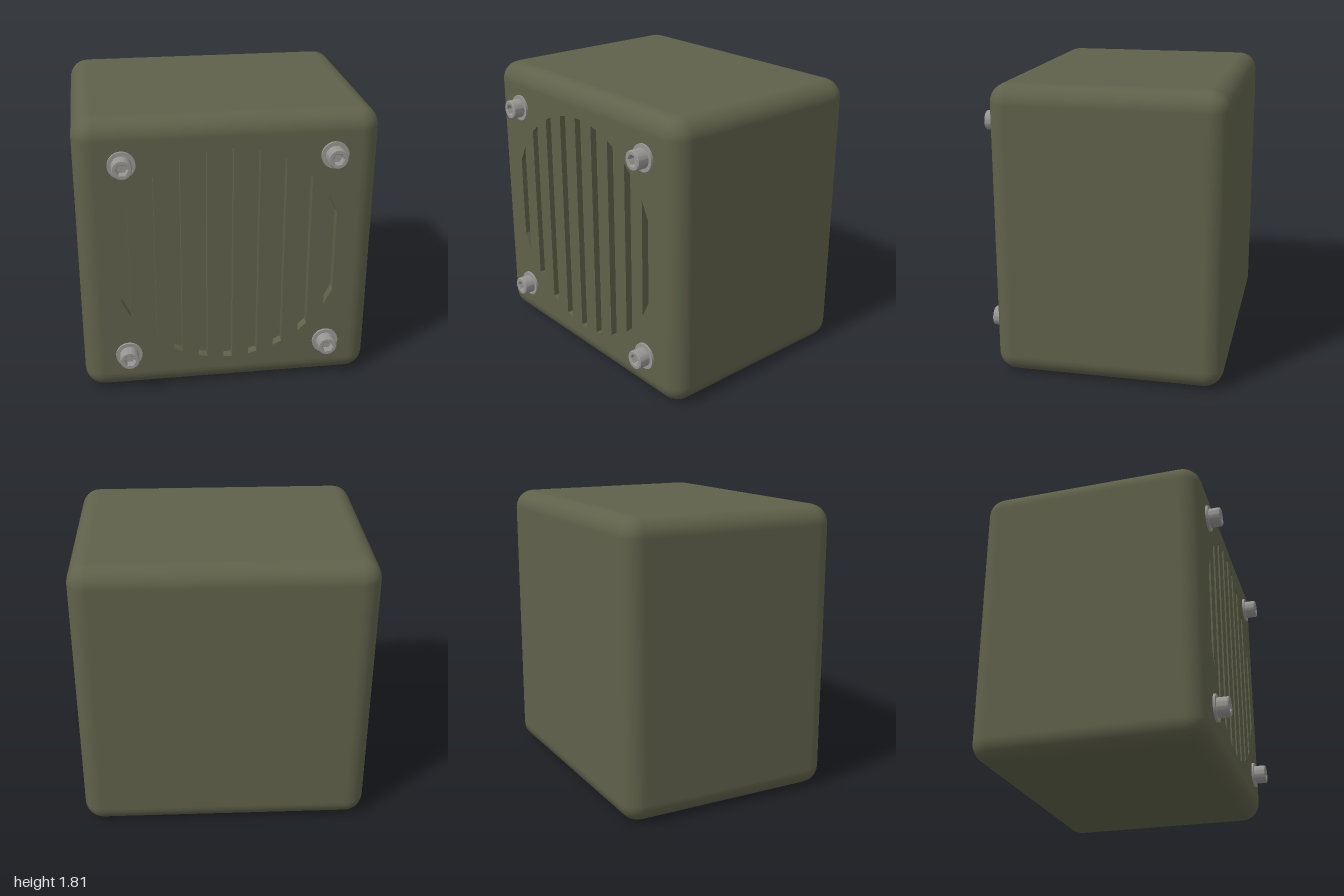
import * as THREE from 'three';
import { toCreasedNormals } from 'three/addons/utils/BufferGeometryUtils.js';
import { RoundedBoxGeometry } from 'three/addons/geometries/RoundedBoxGeometry.js';

const W = 1.82, H = 1.81, D = 1.414, R = 0.12;
const FACE = D / 2, SLOT_DEPTH = 0.06;

const olive = new THREE.MeshStandardMaterial({ color: 0x5f614a });
olive.name = 'olive';
const steel = new THREE.MeshStandardMaterial({ color: 0x989693 });
steel.name = 'steel';

function addMesh(parent, name, geometry, material, x = 0, y = 0, z = 0) {
  const mesh = new THREE.Mesh(geometry, material);
  mesh.name = name;
  mesh.position.set(x, y, z);
  parent.add(mesh);
  return mesh;
}

// Rounded box without its flat front panel
function openCase() {
  const box = new RoundedBoxGeometry(W, H, D, 4, R);
  const pos = box.attributes.position, nor = box.attributes.normal;
  const p = [], n = [];
  for (let i = 0; i < pos.count; i += 3) {
    const flat = [0, 1, 2].every(k => pos.getZ(i + k) > FACE - 1e-4);
    if (flat) continue;
    for (let k = i; k < i + 3; k++) {
      p.push(pos.getX(k), pos.getY(k), pos.getZ(k));
      n.push(nor.getX(k), nor.getY(k), nor.getZ(k));
    }
  }
  const g = new THREE.BufferGeometry();
  g.setAttribute('position', new THREE.Float32BufferAttribute(p, 3));
  g.setAttribute('normal', new THREE.Float32BufferAttribute(n, 3));
  return g;
}

// Front panel with nine vertical slots trimmed to a circle
function grillePanel() {
  const a = W / 2 - R, b = H / 2 - R, radius = 0.715, half = 0.0275;
  const shape = new THREE.Shape([
    new THREE.Vector2(-a, -b), new THREE.Vector2(a, -b),
    new THREE.Vector2(a, b), new THREE.Vector2(-a, b),
  ]);
  for (let i = -4; i <= 4; i++) {
    const x0 = i * 0.159 - half, x1 = i * 0.159 + half;
    const y0 = Math.sqrt(radius ** 2 - x0 ** 2), y1 = Math.sqrt(radius ** 2 - x1 ** 2);
    shape.holes.push(new THREE.Path([
      new THREE.Vector2(x0, -y0), new THREE.Vector2(x0, y0),
      new THREE.Vector2(x1, y1), new THREE.Vector2(x1, -y1),
    ]));
  }
  return new THREE.ExtrudeGeometry(shape, { depth: SLOT_DEPTH, bevelEnabled: false });
}

// Socket screw head: a short cylinder with a hexagonal recess
function screwHead() {
  const shape = new THREE.Shape().absarc(0, 0, 0.06, 0, Math.PI * 2);
  const hex = [];
  for (let i = 0; i < 6; i++) {
    const t = -i * Math.PI / 3;
    hex.push(new THREE.Vector2(0.034 * Math.cos(t), 0.034 * Math.sin(t)));
  }
  shape.holes.push(new THREE.Path(hex));
  const g = new THREE.ExtrudeGeometry(shape, {
    depth: 0.077, curveSegments: 24, bevelSize: 0.005, bevelThickness: 0.005,
    bevelOffset: -0.005, bevelSegments: 1,
  });
  return toCreasedNormals(g, 0.5);
}

export function createModel() {
  const model = new THREE.Group();
  model.name = 'speakerBox';
  const body = new THREE.Group();
  body.name = 'body';
  body.position.set(0, H / 2, -0.035);
  body.rotation.y = THREE.MathUtils.degToRad(10);
  model.add(body);

  addMesh(body, 'case', openCase(), olive);
  addMesh(body, 'grillePanel', grillePanel(), olive, 0, 0, FACE - SLOT_DEPTH);
  addMesh(body, 'slotFloor', new THREE.PlaneGeometry(1.5, 1.5), olive, 0, 0, FACE - SLOT_DEPTH);

  // Four corner screws with washers
  const head = screwHead();
  const washer = new THREE.CylinderGeometry(0.083, 0.083, 0.015, 32).rotateX(Math.PI / 2);
  const socket = new THREE.CircleGeometry(0.045, 24);
  for (const sx of [-1, 1]) {
    for (const sy of [-1, 1]) {
      const screw = new THREE.Group();
      screw.name = 'screw';
      screw.position.set(sx * 0.63, sy * 0.642, FACE);
      addMesh(screw, 'washer', washer, steel, 0, 0, 0.0075);
      addMesh(screw, 'screwHead', head, steel, 0, 0, 0.005);
      addMesh(screw, 'socketFloor', socket, steel, 0, 0, 0.045);
      body.add(screw);
    }
  }
  return model;
}
